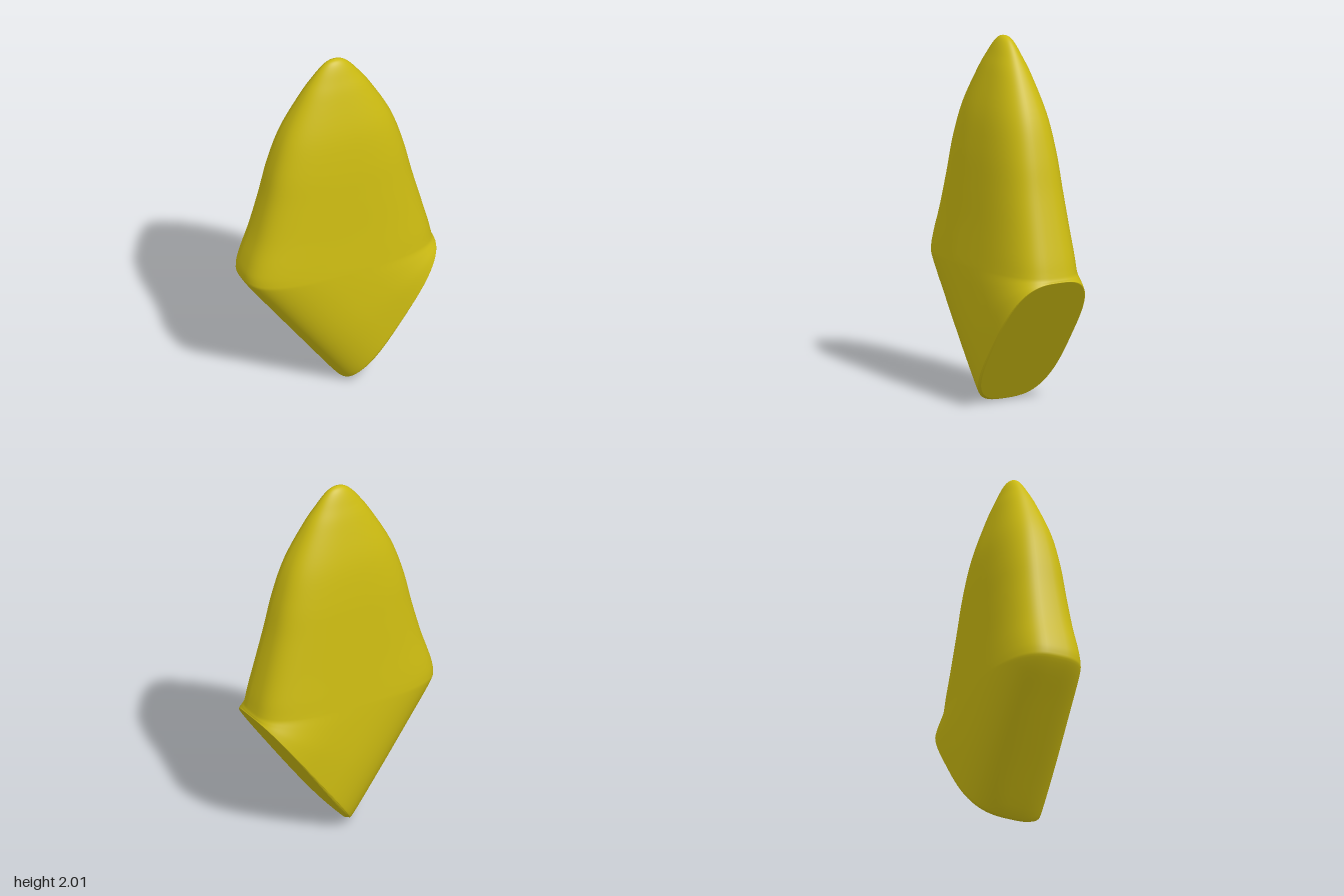
import * as THREE from 'three';

// Sections of the body: left end x, y, right end x, y, half depth, squareness
const SECTIONS = [
  [0.02, 0.004, 0.55, 0.735, 0.243, 3],
  [0.0, 0.0, 0.552, 0.738, 0.248, 3],
  [-0.03, 0.018, 0.552, 0.74, 0.25, 3],
  [-0.2, 0.245, 0.55, 0.742, 0.25, 3],
  [-0.4, 0.515, 0.548, 0.748, 0.243, 3],
  [-0.535, 0.7, 0.543, 0.76, 0.237, 3],
  [-0.555, 0.76, 0.537, 0.785, 0.234, 3],
  [-0.535, 0.85, 0.52, 0.86, 0.227, 3],
  [-0.485, 1.0, 0.483, 1.0, 0.215, 2.9],
  [-0.43, 1.2, 0.43, 1.2, 0.2, 2.8],
  [-0.382, 1.4, 0.382, 1.4, 0.183, 2.7],
  [-0.312, 1.6, 0.315, 1.6, 0.155, 2.5],
  [-0.2, 1.8, 0.203, 1.8, 0.103, 2.3],
  [-0.132, 1.9, 0.132, 1.9, 0.068, 2.1],
  [-0.082, 1.96, 0.082, 1.96, 0.043, 2],
  [-0.042, 1.99, 0.042, 1.99, 0.022, 2],
  [0, 2, 0, 2, 0, 2],
];
const AROUND = 72, ROWS = (SECTIONS.length - 1) * 5;

const spline = (a, b, c) => new THREE.CatmullRomCurve3(
  SECTIONS.map((s) => new THREE.Vector3(s[a], s[b], s[c])), false, 'catmullrom', 0.5);
const leftCurve = spline(0, 1, 4), rightCurve = spline(2, 3, 5);

// One rounded-rectangle ring strung between the left and right ends
function ring(t) {
  const l = leftCurve.getPoint(t), r = rightCurve.getPoint(t), points = [];
  for (let i = 0; i < AROUND; i++) {
    const a = (i / AROUND) * Math.PI * 2;
    const power = (v) => Math.sign(v) * Math.abs(v) ** (2 / r.z);
    const u = (power(Math.cos(a)) + 1) / 2;
    points.push(l.x + (r.x - l.x) * u, l.y + (r.y - l.y) * u, l.z * power(Math.sin(a)));
  }
  return points;
}

function geometryFrom(positions, index) {
  const g = new THREE.BufferGeometry();
  g.setAttribute('position', new THREE.Float32BufferAttribute(positions, 3));
  g.setIndex(index);
  g.computeVertexNormals();
  return g;
}

export function createModel() {
  const group = new THREE.Group();
  group.name = 'taperedTip';
  const material = new THREE.MeshStandardMaterial({ color: 0xccbb11 });

  // Smooth body: rings fan out from the cut face, then rise to the tip
  const positions = [], index = [];
  for (let j = 0; j <= ROWS; j++) positions.push(...ring(j / ROWS));
  for (let j = 0; j < ROWS; j++) {
    for (let i = 0; i < AROUND; i++) {
      const n = (i + 1) % AROUND, a = j * AROUND, b = a + AROUND;
      index.push(a + i, b + i, a + n, a + n, b + i, b + n);
    }
  }
  const body = new THREE.Mesh(geometryFrom(positions, index), material);
  body.name = 'body';

  // Flat slanted cut face on the lower left side
  const rim = ring(0), s = SECTIONS[0], capIndex = [];
  rim.push((s[0] + s[2]) / 2, (s[1] + s[3]) / 2, 0);
  for (let i = 0; i < AROUND; i++) capIndex.push(AROUND, i, (i + 1) % AROUND);
  const cap = new THREE.Mesh(geometryFrom(rim, capIndex), material);
  cap.name = 'cutFace';

  group.add(body, cap);
  return group;
}
